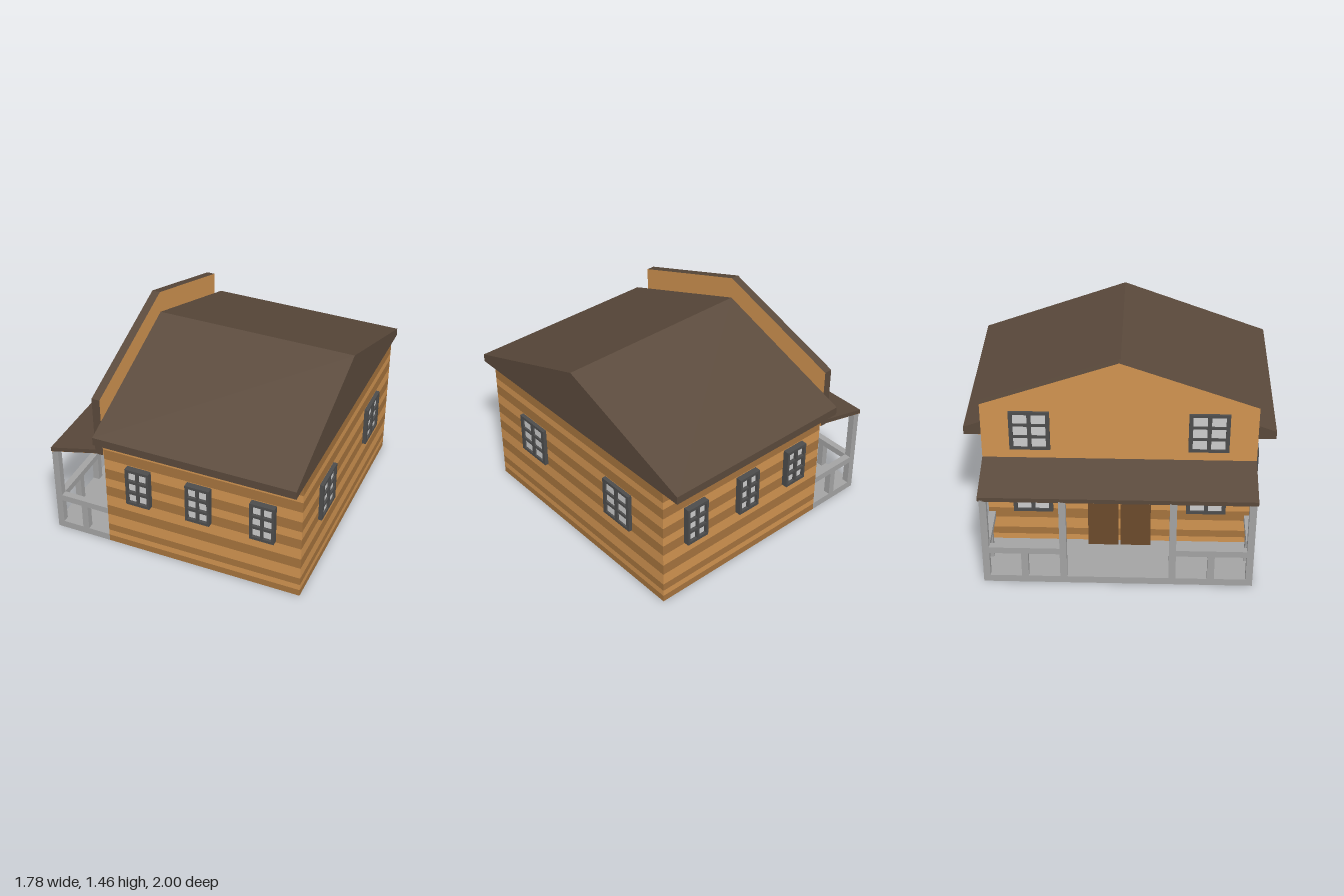
import * as THREE from 'three';

const mat = (color) => new THREE.MeshStandardMaterial({ color });
const logLight = mat(0xd09350), logDark = mat(0xa5733d), roofBrown = mat(0x5a493b);
const porchGrey = mat(0xa3a3a3), frameGrey = mat(0x4c4c4c), paneGrey = mat(0xcccccc), doorBrown = mat(0x6b4a2b);

const WALL_X0 = -0.5, WALL_X1 = 0.86, WALL_Z = 0.87, EAVE_Y = 0.885;

// Box given by its minimum and maximum corners
function box(parent, name, material, x0, x1, y0, y1, z0, z1) {
  const mesh = new THREE.Mesh(new THREE.BoxGeometry(x1 - x0, y1 - y0, z1 - z0), material);
  mesh.position.set((x0 + x1) / 2, (y0 + y1) / 2, (z0 + z1) / 2);
  mesh.name = name;
  parent.add(mesh);
  return mesh;
}

const polygon = (points) => new THREE.Shape(points.map(([x, y]) => new THREE.Vector2(x, y)));

// Extrude an outline without bevel
const extrude = (shape, depth) => new THREE.ExtrudeGeometry(shape, { depth, bevelEnabled: false });

// Gable outline (z, y) extruded along x from x0 to x1
function gable(name, materials, x0, x1, halfZ, baseY, sideY, apexY) {
  const outline = polygon([[-halfZ, baseY], [halfZ, baseY], [halfZ, sideY], [0, apexY], [-halfZ, sideY]]);
  const mesh = new THREE.Mesh(extrude(outline, x1 - x0).rotateY(-Math.PI / 2), materials);
  mesh.position.x = x1;
  mesh.name = name;
  return mesh;
}

// Six-pane window facing +z, its back on z = 0
function makeWindow(name, w, depth) {
  const h = 0.28, edgeX = w * 0.1, bar = w * 0.1, edgeY = 0.02, rail = 0.018;
  const paneW = (w - 2 * edgeX - bar) / 2, paneH = (h - 2 * edgeY - 2 * rail) / 3;
  const group = new THREE.Group();
  group.name = name;
  const outline = polygon([[-w / 2, -h / 2], [w / 2, -h / 2], [w / 2, h / 2], [-w / 2, h / 2]]);
  for (let c = 0; c < 2; c++) {
    for (let r = 0; r < 3; r++) {
      const x = -w / 2 + edgeX + c * (paneW + bar), y = -h / 2 + edgeY + r * (paneH + rail);
      outline.holes.push(polygon([[x, y], [x, y + paneH], [x + paneW, y + paneH], [x + paneW, y]]));
    }
  }
  const frame = new THREE.Mesh(extrude(outline, depth), frameGrey);
  frame.name = 'windowFrame';
  group.add(frame);
  box(group, 'windowPanes', paneGrey, -w / 2 + 0.005, w / 2 - 0.005, -h / 2 + 0.005, h / 2 - 0.005, 0.001, depth * 0.5);
  return group;
}

function addWindow(parent, name, w, depth, x, y, z, turn) {
  const win = makeWindow(name, w, depth);
  win.position.set(x, y, z);
  win.rotation.y = turn;
  parent.add(win);
}

export function createModel() {
  const house = new THREE.Group();
  house.name = 'cabin';

  // Log walls: alternating dark and light courses
  const walls = new THREE.Group();
  walls.name = 'logWalls';
  house.add(walls);
  const courses = [0, 0.048, 0.092, 0.146, 0.23, 0.306, 0.39, 0.465, 0.53, 0.607, 0.685, 0.76, 0.815, EAVE_Y];
  for (let i = 0; i < courses.length - 1; i++) {
    box(walls, 'logCourse', i % 2 ? logLight : logDark, WALL_X0, WALL_X1, courses[i], courses[i + 1], -WALL_Z, WALL_Z);
  }

  // Main roof with wooden soffits
  house.add(gable('mainRoof', roofBrown, WALL_X0, WALL_X1, 1, EAVE_Y, 0.94, 1.305));
  for (const s of [-1, 1]) {
    const z = [s * WALL_Z, s * 0.998].sort((a, b) => a - b);
    box(house, 'soffit', logLight, WALL_X0 + 0.002, WALL_X1 - 0.002, EAVE_Y - 0.002, EAVE_Y + 0.002, z[0], z[1]);
  }

  // Tall false gable above the porch: wooden faces, brown edges
  house.add(gable('falseGable', [logLight, roofBrown], -0.555, WALL_X0, 0.88, 0.72, 1.145, 1.455));

  // Sloping porch roof and its wooden lining
  const porch = new THREE.Group();
  porch.name = 'porch';
  house.add(porch);
  const porchRoof = new THREE.Mesh(
    extrude(polygon([[-0.89, 0.637], [-0.555, 0.72], [-0.555, 0.75], [-0.89, 0.667]]), 1.76), roofBrown);
  porchRoof.position.z = -0.88;
  porchRoof.name = 'porchRoof';
  const lining = new THREE.Mesh(
    extrude(polygon([[-0.888, 0.6355], [-0.555, 0.718], [-0.555, 0.722], [-0.888, 0.6395]]), 1.756), logLight);
  lining.position.z = -0.878;
  lining.name = 'porchCeiling';
  porch.add(porchRoof, lining);

  // Porch floor, posts, rails and balusters
  box(porch, 'porchFloor', porchGrey, -0.89, WALL_X0, 0, 0.05, -WALL_Z, WALL_Z);
  const t = 0.0225;
  for (const s of [-1, 1]) {
    const outer = s * (WALL_Z - t), inner = s * 0.35, mid = (outer + inner) / 2;
    for (const z of [outer, inner]) box(porch, 'porchPost', porchGrey, -0.89, -0.845, 0.05, 0.645, z - t, z + t);
    box(porch, 'sideRail', porchGrey, -0.845, WALL_X0, 0.23, 0.275, outer - t, outer + t);
    box(porch, 'sideBaluster', porchGrey, -0.7, -0.655, 0.05, 0.23, outer - t, outer + t);
    box(porch, 'frontRail', porchGrey, -0.89, -0.845, 0.23, 0.275, Math.min(outer, inner) + t, Math.max(outer, inner) - t);
    box(porch, 'frontBaluster', porchGrey, -0.89, -0.845, 0.05, 0.23, mid - t, mid + t);
  }

  // Pair of thin swing doors standing just off the wall
  for (const s of [-1, 1]) {
    box(house, 'doorLeaf', doorBrown, -0.55, -0.535, 0.05, 0.465, s * 0.107 - 0.1, s * 0.107 + 0.1);
  }

  // Three windows on each long wall
  for (const x of [-0.252, 0.168, 0.607]) {
    addWindow(house, 'frontWindow', 0.166, 0.042, x, 0.54, WALL_Z, 0);
    addWindow(house, 'backWindow', 0.166, 0.042, x, 0.54, -WALL_Z, Math.PI);
  }

  // Paired windows on the end walls and the false gable
  for (const s of [-1, 1]) {
    addWindow(house, 'endWindow', 0.256, 0.026, WALL_X1, 0.54, s * 0.442, Math.PI / 2);
    addWindow(house, 'porchWindow', 0.26, 0.025, WALL_X0, 0.437, s * 0.57, -Math.PI / 2);
    addWindow(house, 'gableWindow', 0.26, 0.017, -0.555, 0.96, s * 0.57, -Math.PI / 2);
  }
  return house;
}
